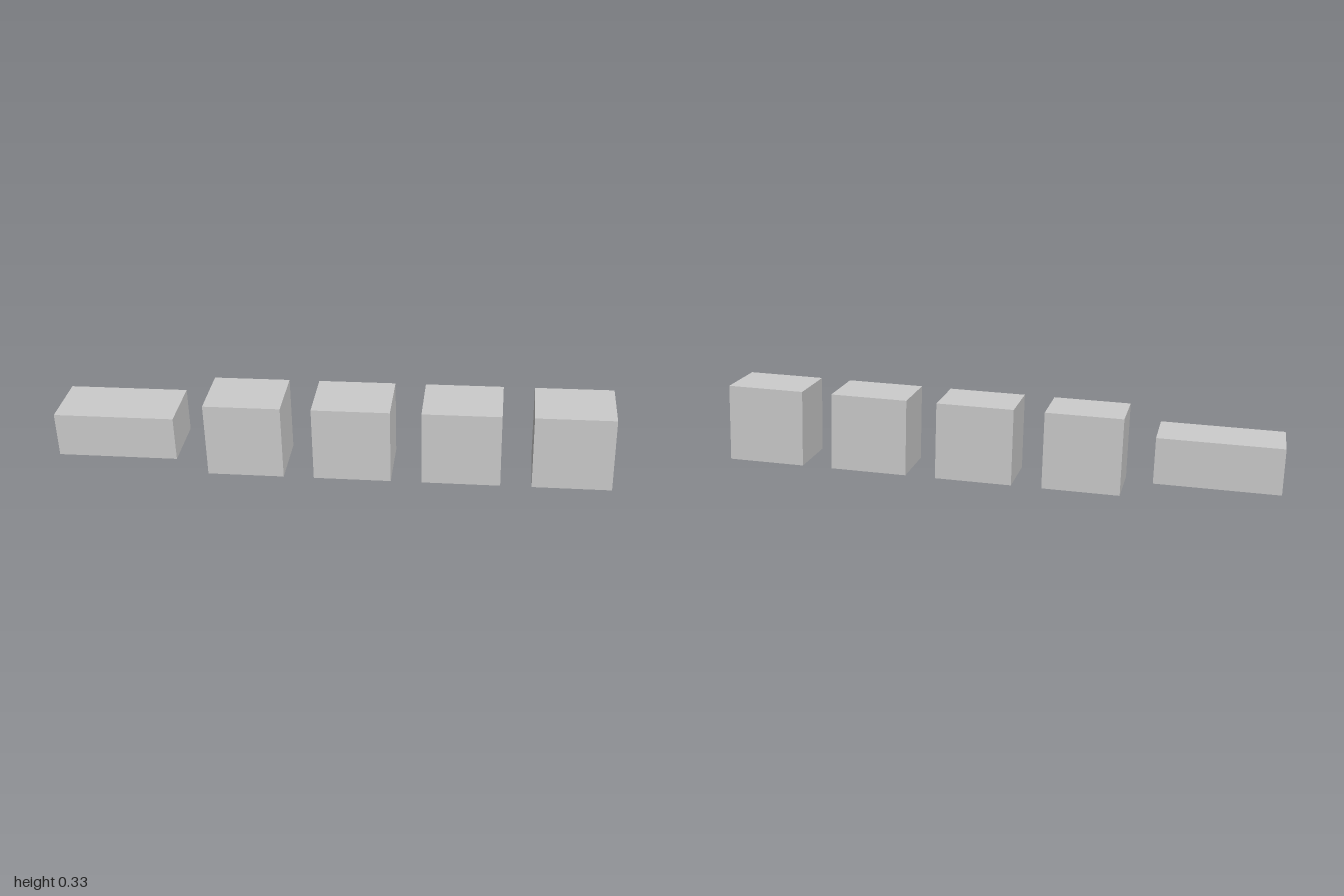
import * as THREE from 'three';

export function createModel() {
  const model = new THREE.Group();
  model.name = 'blockRow';
  const material = new THREE.MeshStandardMaterial({ color: 0xcccccc, flatShading: true });
  const depth = 0.22;
  const tilt = THREE.MathUtils.degToRad(2);

  // All blocks share one gently rising centre line
  const addBlock = (name, length, height, x) => {
    const block = new THREE.Mesh(new THREE.BoxGeometry(length, height, depth), material);
    block.name = name;
    block.position.set(x, 0.1547 + x * Math.tan(tilt), 0);
    block.rotation.z = tilt;
    model.add(block);
  };

  // Long low block at the lower end
  addBlock('longBlock', 0.44, 0.165, -0.777);

  // Four evenly spaced square blocks
  for (let i = 0; i < 4; i++) {
    addBlock(`squareBlock${i + 1}`, 0.278, 0.278, -0.306 + i * 0.3873);
  }

  return model;
}
